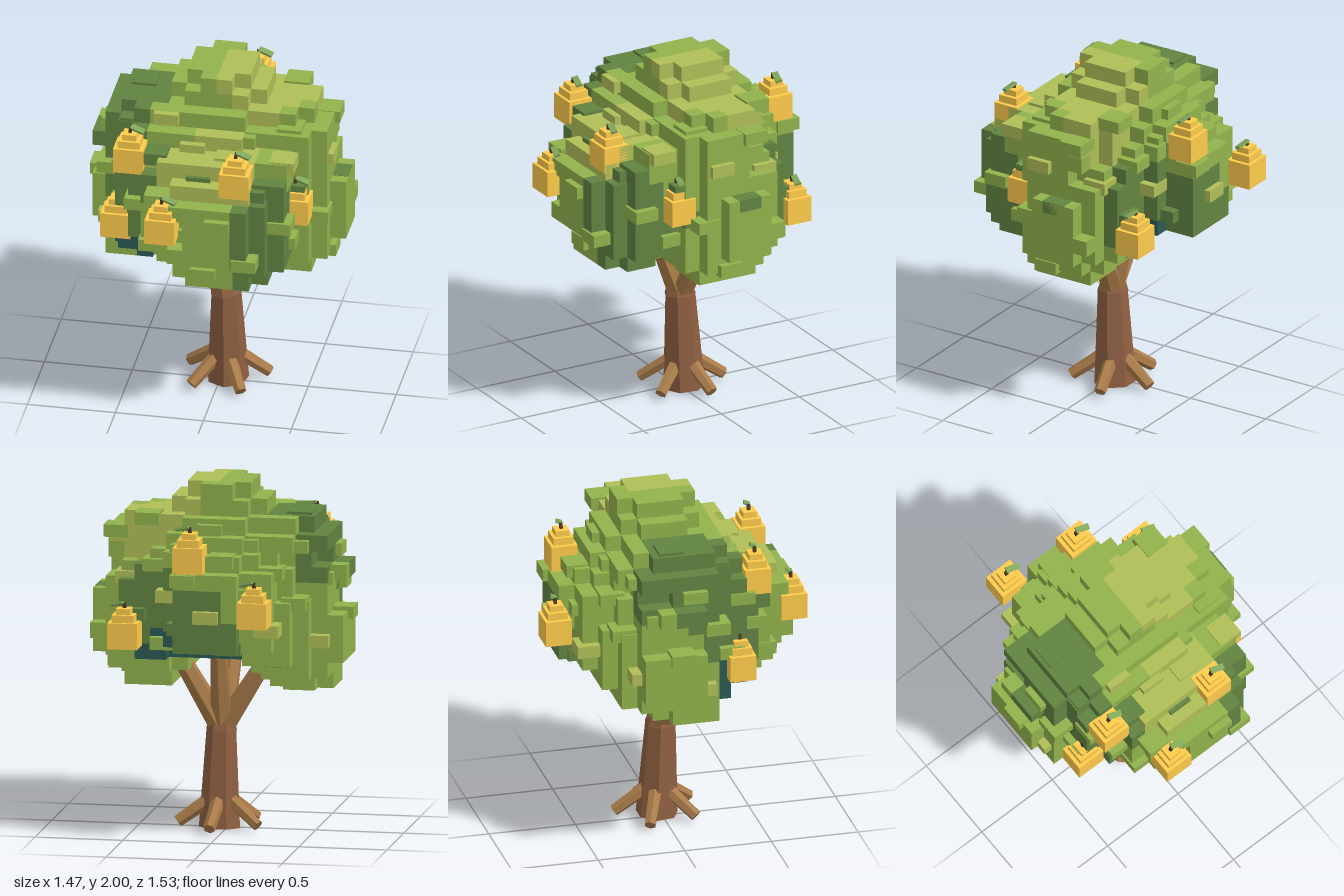
import * as THREE from 'three';
import { mergeGeometries } from 'three/addons/utils/BufferGeometryUtils.js';

const CELL = 0.09;
const ORIGIN = new THREE.Vector3(0.01, 0.83, -0.01);
const mat = (color) => new THREE.MeshStandardMaterial({ color, flatShading: true });
const MID = 0x92b34c, LIGHT = 0xb0bf58, DARK = 0x628442, DEEP = 0x2b5a54;
const leafMats = Object.fromEntries([MID, LIGHT, DARK, DEEP].map((c) => [c, mat(c)]));
const bark = mat(0x8f6042), branchBark = mat(0xaa7c4a), fruitSkin = mat(0xffcc4c);
const stemMat = mat(0x4a3a20), fruitLeafMat = mat(0x7fa85a);

// Crown layers from the bottom up: rounded lobes as cell ranges [x0, x1, z0, z1]
const LAYERS = [
  [[-7, -3, -2, 2], [3, 6, -2, 2]],
  [[-7, -2, -4, 3], [2, 7, -3, 3], [-2, 4, 3, 7]],
  [[-8, -1, -5, 4], [1, 8, -4, 4], [-3, 5, 2, 7], [-2, 3, -3, 3]],
  [[-8, 0, -6, 5], [0, 8, -5, 5], [-4, 6, 1, 8], [-3, 4, -7, -2]],
  [[-8, 8, -6, 6], [-4, 6, 0, 8], [-4, 4, -7, 0]],
  [[-7, 8, -6, 6], [-4, 6, 0, 8], [-4, 4, -7, 0]],
  [[-7, 7, -6, 7], [-4, 5, 0, 8], [-4, 4, -7, 0]],
  [[-8, 7, -5, 6], [-4, 5, 0, 7], [-4, 3, -7, 0]],
  [[-7, 7, -4, 5], [-4, 5, 0, 6], [-4, 4, -6, 2]],
  [[-7, 2, -4, 4], [-1, 7, -3, 3], [-3, 3, -5, 4]],
  [[-6, 0, -3, 3], [-1, 6, -3, 2], [-3, 3, -4, 3]],
  [[-3, 3, -3, 2]],
  [[-2, 2, -3, 2]],
];
// Crown outline in plan: x cell range for each row of z, starting at z cell -7
const PLAN = [
  [-4, 2], [-4, 2], [-5, 3], [-6, 6], [-8, 8], [-8, 8], [-8, 8], [-8, 8],
  [-7, 7], [-6, 6], [-6, 5], [-5, 5], [-4, 5], [-3, 4], [-2, 3],
];
// Colour patches: each cell takes the colour of the nearest centre
const PATCHES = [
  [0.3, 1.8, -0.12, LIGHT], [-0.02, 1.6, 0.4, LIGHT], [0.13, 2, 0, LIGHT],
  [-0.4, 1.65, 0.05, DARK], [-0.5, 1.35, 0.3, DARK], [0.35, 1.2, 0.45, DARK],
  [0.32, 1.35, -0.5, DARK], [-0.38, 0.95, 0.2, DEEP], [0.1, 1.08, -0.3, DEEP],
  [0.05, 1.25, -0.55, DARK], [-0.08, 2, -0.05, MID], [0.65, 1.3, -0.05, MID],
  [-0.65, 1.15, -0.1, MID], [-0.1, 1.2, 0.6, MID], [-0.2, 1.6, -0.4, MID],
  [0.5, 1.6, 0.15, MID], [-0.3, 1.3, -0.55, MID], [0.4, 1, 0, MID],
  [-0.5, 0.9, 0, MID], [0, 1, 0.4, MID], [-0.1, 1.8, 0.2, MID], [0.1, 1.65, -0.5, MID],
];

const hash = (i, j, k) => {
  const s = Math.sin(i * 12.99 + j * 78.23 + k * 37.72) * 43758.5453;
  return s - Math.floor(s);
};

function filled(i, j, k) {
  const lobes = LAYERS[j], row = PLAN[k + 7];
  if (!lobes || !row || i < row[0] || i >= row[1]) return false;
  const limit = 0.95 + 0.25 * hash(i >> 1, j >> 1, k >> 1);
  return lobes.some(([x0, x1, z0, z1]) => {
    if (i < x0 || i >= x1 || k < z0 || k >= z1) return false;
    const u = (2 * i + 1 - x0 - x1) / (x1 - x0);
    const v = (2 * k + 1 - z0 - z1) / (z1 - z0);
    return u * u + v * v < limit;
  });
}

function cellCentre(i, j, k) {
  return new THREE.Vector3(i + 0.5, j + 0.5, k + 0.5).multiplyScalar(CELL).add(ORIGIN);
}

function patchColour(p) {
  let best = Infinity, colour = MID;
  for (const [x, y, z, c] of PATCHES) {
    const d = (p.x - x) ** 2 + (p.y - y) ** 2 + (p.z - z) ** 2;
    if (d < best) { best = d; colour = c; }
  }
  return colour;
}

function buildCrown() {
  const crown = new THREE.Group();
  crown.name = 'crown';
  const parts = { [MID]: [], [LIGHT]: [], [DARK]: [], [DEEP]: [] };
  const sides = [[1, 0, 0], [-1, 0, 0], [0, 1, 0], [0, -1, 0], [0, 0, 1], [0, 0, -1]].map((d) => {
    const n = new THREE.Vector3(...d);
    const face = new THREE.PlaneGeometry(CELL, CELL).lookAt(n);
    return { d, face: face.translate(...n.multiplyScalar(CELL / 2).toArray()) };
  });
  // outer faces of the filled cells
  for (let j = 0; j < LAYERS.length; j++)
    for (let k = -7; k < 8; k++)
      for (let i = -8; i < 8; i++) {
        if (!filled(i, j, k)) continue;
        const c = cellCentre(i, j, k);
        for (const { d, face } of sides)
          if (!filled(i + d[0], j + d[1], k + d[2]))
            parts[patchColour(c)].push(face.clone().translate(c.x, c.y, c.z));
      }
  // small leaf blocks poking out of the surface
  const count = 56, cycle = [MID, LIGHT, MID, MID, DARK];
  for (let n = 0; n < count; n++) {
    const h = 0.8 - (1.4 * (n + 0.5)) / count, a = n * 2.39996, r = Math.sqrt(1 - h * h);
    const dir = new THREE.Vector3(Math.cos(a) * r, h, Math.sin(a) * r);
    const p = new THREE.Vector3(0, 1.38, 0);
    const inside = () => {
      const q = p.clone().sub(ORIGIN).divideScalar(CELL).floor();
      return filled(q.x, q.y, q.z);
    };
    while (inside()) p.addScaledVector(dir, 0.02);
    p.addScaledVector(dir, -0.05);
    p.x = THREE.MathUtils.clamp(p.x, -0.67, 0.66);
    parts[cycle[n % 5]].push(new THREE.BoxGeometry(0.14, 0.07, 0.14).translate(p.x, p.y, p.z));
  }
  for (const c of Object.keys(parts)) {
    const mesh = new THREE.Mesh(mergeGeometries(parts[c]), leafMats[c]);
    mesh.name = 'foliage';
    crown.add(mesh);
  }
  return crown;
}

// Tapered log between two points
function log(name, from, to, r0, r1, material, sides = 6) {
  const a = new THREE.Vector3(...from), b = new THREE.Vector3(...to);
  const dir = b.clone().sub(a);
  const mesh = new THREE.Mesh(new THREE.CylinderGeometry(r1, r0, dir.length(), sides), material);
  mesh.position.copy(a).add(b).multiplyScalar(0.5);
  mesh.quaternion.setFromUnitVectors(new THREE.Vector3(0, 1, 0), dir.normalize());
  mesh.name = name;
  return mesh;
}

function buildFruit(x, y, z) {
  const fruit = new THREE.Group();
  fruit.name = 'fruit';
  const block = (name, w, h, d, px, py, material) => {
    const mesh = new THREE.Mesh(new THREE.BoxGeometry(w, h, d), material);
    mesh.position.set(px, py, 0);
    mesh.name = name;
    fruit.add(mesh);
    return mesh;
  };
  block('fruitBody', 0.17, 0.148, 0.15, 0, 0.074, fruitSkin);
  block('fruitShoulder', 0.125, 0.042, 0.115, 0, 0.169, fruitSkin);
  block('fruitNeck', 0.08, 0.036, 0.08, 0, 0.206, fruitSkin);
  block('fruitStem', 0.018, 0.04, 0.018, 0, 0.236, stemMat).rotation.z = -0.15;
  const leaf = block('fruitLeaf', 0.082, 0.014, 0.035, 0.042, 0.246, fruitLeafMat);
  leaf.rotation.set(0.3, -0.28, -0.17);
  fruit.position.set(x, y, z);
  return fruit;
}

export function createModel() {
  const tree = new THREE.Group();
  tree.name = 'tree';

  // trunk, collar and branches
  tree.add(log('trunk', [0.038, 0.005, -0.02], [0.032, 0.57, 0.0], 0.12, 0.086, bark, 7));
  tree.add(log('trunkCollar', [0.03, 0.56, 0], [0.025, 0.62, 0], 0.09, 0.07, bark, 7));
  const tips = [[-0.32, 1.12, -0.04], [0.34, 1.12, -0.08], [-0.02, 1.12, 0.2], [0.03, 1.12, -0.14]];
  for (const tip of tips)
    tree.add(log('branch', [0.03, 0.56, 0], tip, 0.068, 0.045, branchBark));

  // five roots around the foot
  for (let n = 0; n < 5; n++) {
    const a = Math.PI / 3 + (n * Math.PI * 2) / 5, c = Math.cos(a), s = Math.sin(a);
    tree.add(log('root', [0.03 + 0.07 * c, 0.16, -0.02 + 0.07 * s],
      [0.03 + 0.245 * c, 0.036, -0.02 + 0.245 * s], 0.04, 0.034, branchBark));
  }

  tree.add(buildCrown());

  // hanging fruit
  const fruits = [
    [-0.43, 1.53, 0.42], [0.195, 1.5, 0.55], [-0.2, 1.245, 0.69], [0.48, 1.22, 0.275],
    [-0.525, 1.05, 0.31], [0.11, 1.55, -0.555], [-0.28, 1.275, -0.69], [0.5, 1.09, -0.455],
  ];
  for (const f of fruits) tree.add(buildFruit(...f));
  return tree;
}
